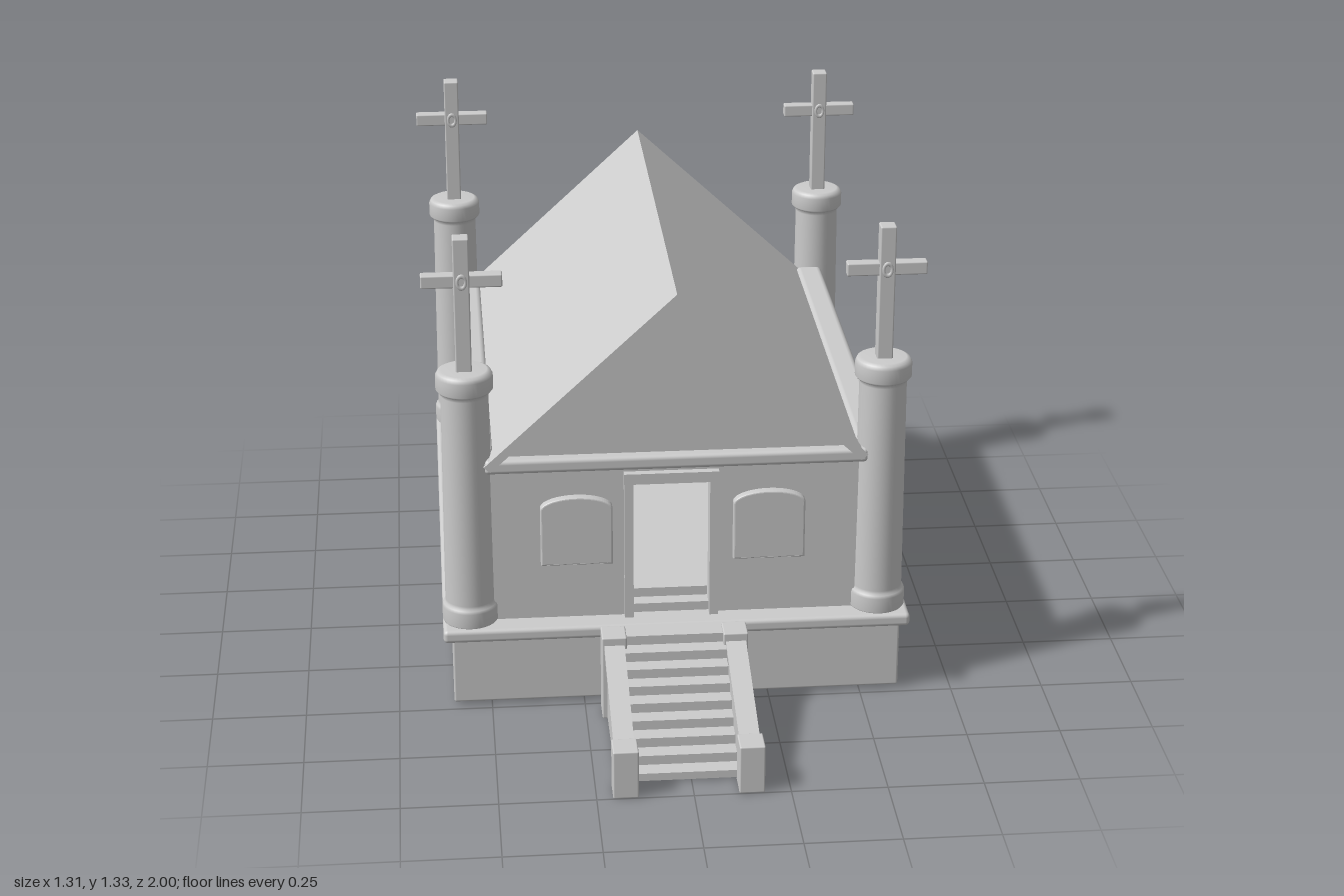
import * as THREE from 'three';
import { RoundedBoxGeometry } from 'three/addons/geometries/RoundedBoxGeometry.js';

const material = new THREE.MeshStandardMaterial({ color: 0xcccccc });

function add(parent, name, geometry, x = 0, y = 0, z = 0) {
  const mesh = new THREE.Mesh(geometry, material);
  mesh.name = name;
  mesh.position.set(x, y, z);
  parent.add(mesh);
  return mesh;
}

// Box given by its low and high corners; r rounds the edges
function block(parent, name, [x0, y0, z0], [x1, y1, z1], r = 0) {
  const size = [x1 - x0, y1 - y0, z1 - z0];
  const geometry = r ? new RoundedBoxGeometry(...size, 3, r) : new THREE.BoxGeometry(...size);
  return add(parent, name, geometry, (x0 + x1) / 2, (y0 + y1) / 2, (z0 + z1) / 2);
}

const polygon = (points) => new THREE.Shape(points.map(([x, y]) => new THREE.Vector2(x, y)));

const extrude = (shape, depth, bevel = 0) => new THREE.ExtrudeGeometry(shape, {
  depth, curveSegments: 16, bevelEnabled: bevel > 0,
  bevelThickness: bevel, bevelSize: bevel, bevelOffset: -bevel, bevelSegments: 3,
});

// Opening with a straight bottom at y0 and an elliptical head of the given rise
function archPath(Type, w, y0, y1, rise) {
  const path = new Type();
  path.moveTo(-w / 2, y0);
  path.lineTo(w / 2, y0);
  path.lineTo(w / 2, y1 - rise);
  path.absellipse(0, y1 - rise, w / 2, rise, 0, Math.PI, false);
  path.lineTo(-w / 2, y0);
  return path;
}

function archFrame(w, y0, y1, rise, border, sill, depth) {
  const shape = archPath(THREE.Shape, w, y0, y1, rise);
  shape.holes.push(archPath(THREE.Path, w - 2 * border, y0 + sill, y1 - border, rise * 0.85));
  return extrude(shape, depth, 0.005);
}

function createColumn() {
  const column = new THREE.Group();
  column.name = 'cornerColumn';
  const profile = [
    [0, 0.235], [0.072, 0.235], [0.075, 0.24], [0.075, 0.28], [0.072, 0.288], [0.067, 0.292], [0.0665, 0.30],
    [0.0625, 0.89], [0.063, 0.9], [0.07, 0.902], [0.075, 0.908], [0.075, 0.945], [0.07, 0.955], [0.06, 0.96], [0, 0.96],
  ].map(([r, y]) => new THREE.Vector2(r, y));
  add(column, 'shaft', new THREE.LatheGeometry(profile, 40));
  block(column, 'crossUpright', [-0.021, 0.95, -0.021], [0.021, 1.325, 0.021], 0.004);
  block(column, 'crossArm', [-0.105, 1.19, -0.016], [0.105, 1.225, 0.016], 0.004);
  for (const side of [-1, 1]) {
    const ring = add(column, 'crossRing', new THREE.TorusGeometry(0.011, 0.004, 8, 20), 0, 1.208, side * 0.022);
    ring.scale.y = 1.5;
  }
  return column;
}

function createStairs() {
  const stairs = new THREE.Group();
  stairs.name = 'stairs';
  const cx = -0.013, front = 0.925, back = 0.48, count = 9, top = 0.235;
  // Stepped profile drawn along z, then turned to run across x
  const points = [[back, 0.005], [front, 0.005]];
  for (let i = 0; i < count; i++) {
    const y = top * (i + 1) / count, run = 0.045;
    points.push([front - i * run, y], [Math.max(front - (i + 1) * run, back), y]);
  }
  points.push([back, top]);
  const across = (shape, width, x, name) => {
    const mesh = add(stairs, name, extrude(shape, width), x + width / 2);
    mesh.rotation.y = -Math.PI / 2;
  };
  across(polygon(points), 0.27, cx, 'steps');
  for (const s of [-1, 1]) {
    const x = cx + s * 0.162;
    across(polygon([[0.55, 0.005], [0.95, 0.005], [0.95, 0.105], [0.55, 0.215]]), 0.04, x, 'parapet');
    across(polygon([[0.55, 0.215], [0.95, 0.1], [0.95, 0.112], [0.55, 0.23]]), 0.054, x, 'handrail');
    block(stairs, 'lowerNewel', [x - 0.033, 0, 0.928], [x + 0.033, 0.135, 1], 0.004);
    block(stairs, 'upperNewel', [x - 0.033, 0, 0.515], [x + 0.033, 0.242, 0.585], 0.004);
  }
  return stairs;
}

export function createModel() {
  const model = new THREE.Group();
  model.name = 'chapel';

  // Plinth and its projecting lip
  block(model, 'plinth', [-0.602, 0.01, -0.97], [0.606, 0.215, 0.48], 0.006);
  block(model, 'plinthLip', [-0.626, 0.2, -1], [0.63, 0.237, 0.505], 0.012);

  // Gabled end walls, the front one with a doorway
  const doorX0 = -0.114, doorX1 = 0.09;
  const frontWall = polygon([
    [-0.495, 0.235], [doorX0, 0.235], [doorX0, 0.63], [doorX1, 0.63], [doorX1, 0.235],
    [0.495, 0.235], [0.495, 0.69], [0, 1.145], [-0.495, 0.69],
  ]);
  const backWall = polygon([[-0.495, 0.235], [0.495, 0.235], [0.495, 0.69], [0, 1.145], [-0.495, 0.69]]);
  add(model, 'frontWall', extrude(frontWall, 0.03), 0, 0, 0.41);
  add(model, 'backWall', extrude(backWall, 0.03), 0, 0, -0.85);

  // Roof slopes
  const roof = polygon([[-0.507, 0.7], [-0.49, 0.685], [0, 1.135], [0.49, 0.685], [0.507, 0.7], [0, 1.17]]);
  add(model, 'roof', extrude(roof, 1.352), 0, 0, -0.878);

  // Cornices across both ends
  block(model, 'frontCornice', [-0.505, 0.675, 0.42], [0.51, 0.715, 0.47], 0.012);
  block(model, 'backCornice', [-0.505, 0.675, -0.872], [0.51, 0.715, -0.83], 0.012);

  // Side walls, eaves and arched windows
  for (const s of [-1, 1]) {
    const side = new THREE.Group();
    side.name = s > 0 ? 'leftSide' : 'rightSide';
    model.add(side);
    const xs = (a, b) => (s > 0 ? [a, b] : [-b, -a]);
    const [w0, w1] = xs(0.465, 0.497), [e0, e1] = xs(0.48, 0.557);
    block(side, 'sideWall', [w0, 0.235, -0.84], [w1, 0.7, 0.43]);
    block(side, 'eave', [e0, 0.685, -0.857], [e1, 0.73, 0.42], 0.016);
    for (const z of [0.07, -0.24, -0.555]) {
      const window = new THREE.Group();
      window.name = 'sideWindow';
      window.position.set(s * 0.495, 0, z);
      window.rotation.y = s * Math.PI / 2;
      add(window, 'outerFrame', archFrame(0.222, 0.237, 0.666, 0.09, 0.026, 0.04, 0.03));
      add(window, 'innerFrame', archFrame(0.178, 0.27, 0.644, 0.075, 0.016, 0.035, 0.012));
      side.add(window);
    }
  }

  // Front windows with shallow arched heads
  for (const x of [-0.265, 0.249]) {
    add(model, 'frontWindowFrame', archFrame(0.192, 0.4, 0.598, 0.035, 0.02, 0.008, 0.016), x, 0, 0.44);
    add(model, 'frontWindowPane', extrude(archPath(THREE.Shape, 0.146, 0.412, 0.575, 0.028), 0.006), x, 0, 0.44);
  }

  // Door surround and threshold steps
  const surround = polygon([
    [-0.138, 0.235], [doorX0, 0.235], [doorX0, 0.63], [doorX1, 0.63], [doorX1, 0.235],
    [0.114, 0.235], [0.114, 0.66], [-0.138, 0.66],
  ]);
  add(model, 'doorSurround', extrude(surround, 0.055), 0, 0, 0.405);
  block(model, 'lowerThreshold', [doorX0, 0.23, 0.36], [doorX1, 0.262, 0.43]);
  block(model, 'upperThreshold', [doorX0, 0.23, 0.32], [doorX1, 0.288, 0.39]);

  // Four corner columns topped by crosses
  for (const x of [-0.551, 0.549]) {
    for (const z of [0.42, -0.921]) {
      const column = createColumn();
      column.position.set(x, 0, z);
      model.add(column);
    }
  }

  model.add(createStairs());
  return model;
}
